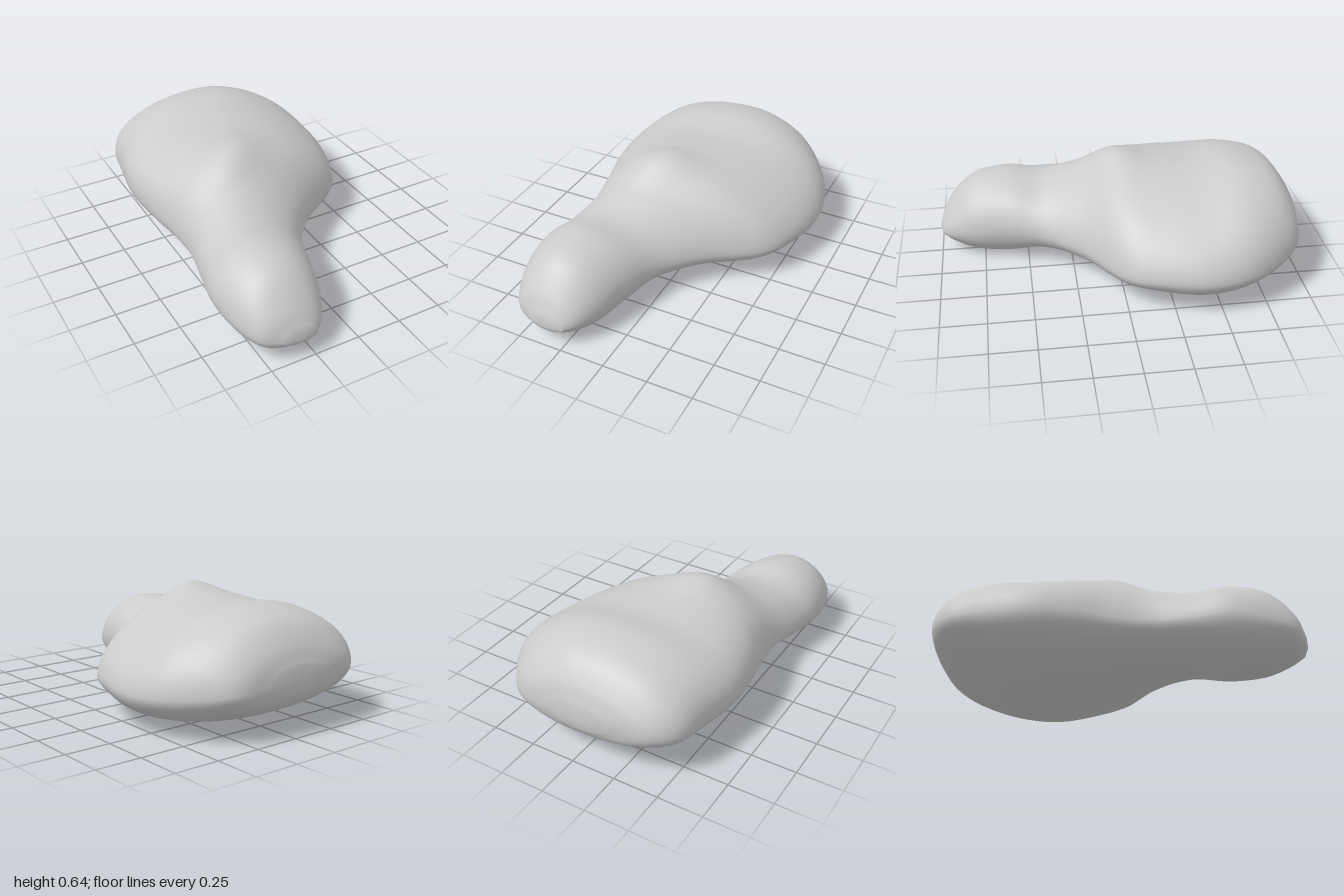
import * as THREE from 'three';

// Cross-sections: z, right x, right y, top x, top y, left x, bottom x, bottom y
const SECTIONS = [
  [0.985, -0.24, 0.13, -0.33, 0.185, -0.42, -0.32, 0.095],
  [0.93, -0.18, 0.15, -0.36, 0.285, -0.53, -0.33, 0.055],
  [0.8, -0.11, 0.18, -0.36, 0.415, -0.59, -0.29, 0.01],
  [0.6, -0.05, 0.21, -0.35, 0.46, -0.615, -0.26, 0.005],
  [0.4, 0.025, 0.2, -0.33, 0.445, -0.58, -0.24, 0.05],
  [0.2, 0.2, 0.2, -0.25, 0.505, -0.545, -0.16, 0.06],
  [0, 0.48, 0.2, -0.15, 0.595, -0.56, -0.05, 0.045],
  [-0.2, 0.575, 0.21, -0.1, 0.598, -0.6, 0.08, 0.022],
  [-0.42, 0.618, 0.21, -0.05, 0.592, -0.62, 0.18, 0.02],
  [-0.65, 0.58, 0.22, 0, 0.62, -0.585, 0.17, 0.05],
  [-0.85, 0.455, 0.24, 0, 0.57, -0.54, 0.1, 0.105],
  [-0.95, 0.34, 0.26, 0, 0.46, -0.43, 0.03, 0.16],
  [-0.99, 0.14, 0.28, -0.02, 0.36, -0.22, -0.04, 0.22],
];
const AROUND = 64;
const ALONG = 78;

// Point on a section outline made of four rounded quarters
function outlinePoint([z, rightX, rightY, topX, topY, leftX, bottomX, bottomY], angle) {
  const c = Math.cos(angle);
  const s = Math.sin(angle);
  // The left flank bulges higher and fuller along the body
  const bulge = Math.exp(-((z + 0.45) ** 2) / 0.3);
  const leftY = rightY + 0.08 * bulge;
  const [sideX, sideY] = c > 0 ? [rightX, rightY] : [leftX, leftY];
  const [crownX, crownY] = s > 0 ? [topX, topY] : [bottomX, bottomY];
  // The upper right slope flattens along the neck and shoulder
  const slope = 1.95 - 0.28 * Math.exp(-((z + 0.1) ** 2) / 0.3);
  const power = 2 / (c < 0 ? 1.95 + 0.28 * bulge : s > 0 ? slope : 1.95);
  const x = crownX + (sideX - crownX) * Math.abs(c) ** power;
  const y = sideY + (crownY - sideY) * Math.abs(s) ** power;
  // Small hump on top of the shoulder
  const hump = 0.042 * Math.max(s, 0) * Math.exp(-((x + 0.17) ** 2 + z ** 2) / 0.025);
  return new THREE.Vector3(x, y + hump, z);
}

function createRockGeometry() {
  const positions = [];
  const index = [];
  const front = AROUND * (ALONG + 1);
  const back = front + 1;

  // Smooth lengthwise curves through matching points of every section
  for (let j = 0; j < AROUND; j++) {
    const angle = (j / AROUND) * Math.PI * 2;
    const curve = new THREE.CatmullRomCurve3(SECTIONS.map((s) => outlinePoint(s, angle)));
    for (const point of curve.getPoints(ALONG)) positions.push(...point);
  }
  // Poles closing the two ends
  positions.push(-0.32, 0.13, 1, -0.04, 0.28, -1);

  for (let j = 0; j < AROUND; j++) {
    const a = j * (ALONG + 1);
    const b = ((j + 1) % AROUND) * (ALONG + 1);
    for (let i = 0; i < ALONG; i++) {
      index.push(a + i, a + i + 1, b + i, b + i, a + i + 1, b + i + 1);
    }
    index.push(front, a, b, back, b + ALONG, a + ALONG);
  }

  const geometry = new THREE.BufferGeometry();
  geometry.setAttribute('position', new THREE.Float32BufferAttribute(positions, 3));
  geometry.setIndex(index);
  geometry.computeVertexNormals();
  return geometry;
}

export function createModel() {
  const group = new THREE.Group();
  group.name = 'asteroid';
  // Broad body and narrow lobe in one continuous surface
  const rock = new THREE.Mesh(
    createRockGeometry(),
    new THREE.MeshStandardMaterial({ color: 0xcccccc })
  );
  rock.name = 'rockBody';
  group.add(rock);
  return group;
}
